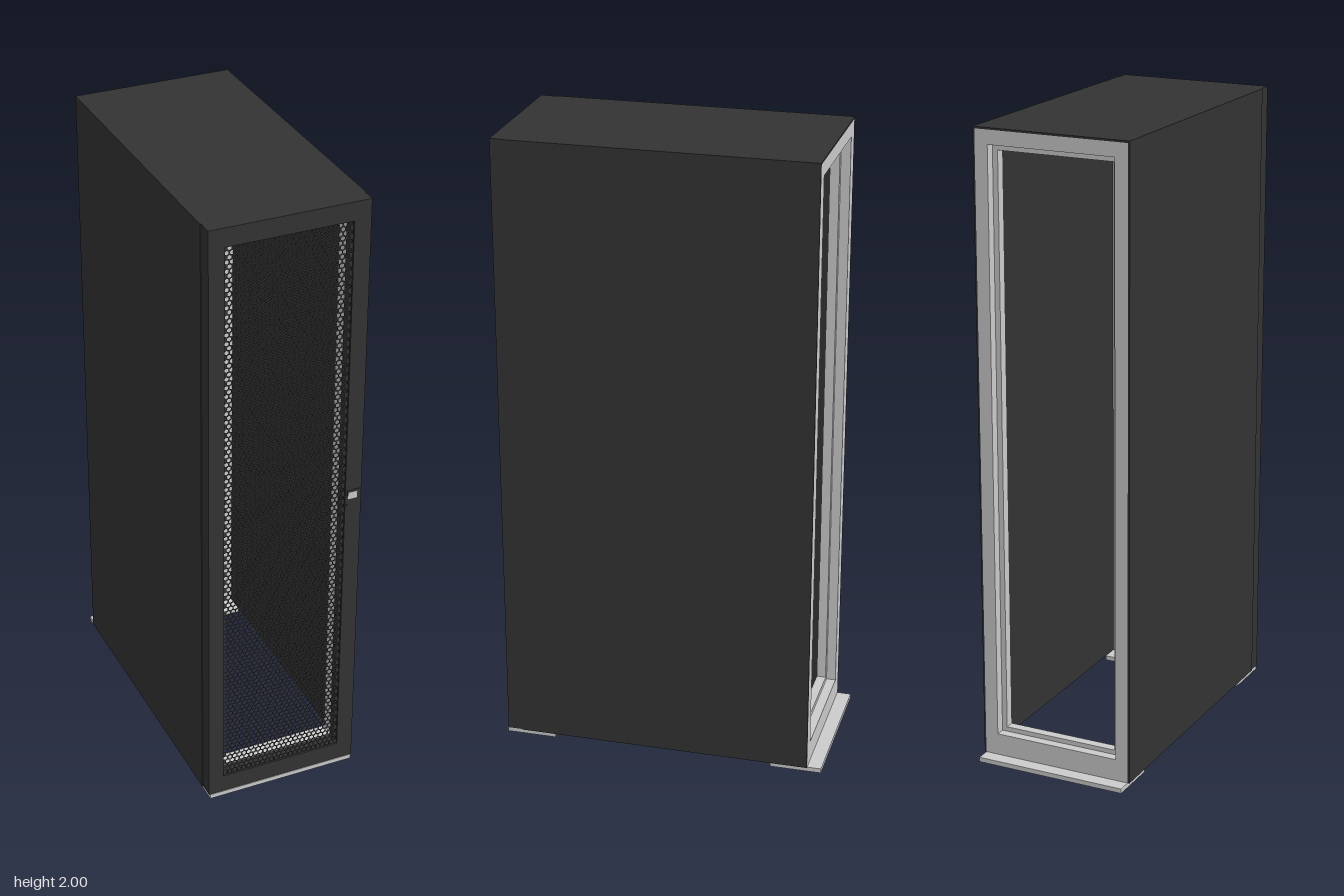
import * as THREE from 'three';
import { mergeGeometries } from 'three/addons/utils/BufferGeometryUtils.js';

const dark = new THREE.MeshStandardMaterial({ color: 0x333333 });
const darkSheet = new THREE.MeshStandardMaterial({ color: 0x333333, side: THREE.DoubleSide });
const grey = new THREE.MeshStandardMaterial({ color: 0xcccccc });

const W = 0.253, BACK = -0.475, DOOR = 0.47, FRONT = 0.52, BASE = 0.015, TOP = 2;

function rectPath(path, x0, x1, y0, y1) {
  path.moveTo(x0, y0);
  path.lineTo(x1, y0);
  path.lineTo(x1, y1);
  path.lineTo(x0, y1);
  path.closePath();
  return path;
}

export function createModel() {
  const model = new THREE.Group();
  model.name = 'rackCabinet';

  const add = (name, geometry, material, parent = model) => {
    const mesh = new THREE.Mesh(geometry, material);
    mesh.name = name;
    parent.add(mesh);
    return mesh;
  };
  // box given by its limits on each axis
  const box = (name, x0, x1, y0, y1, z0, z1, material, parent) => {
    const mesh = add(name, new THREE.BoxGeometry(x1 - x0, y1 - y0, z1 - z0), material, parent);
    mesh.position.set((x0 + x1) / 2, (y0 + y1) / 2, (z0 + z1) / 2);
    return mesh;
  };
  // rectangular ring: outer and inner limits are [x0, x1, y0, y1]
  const ring = (name, outer, inner, z0, z1, material, parent) => {
    const shape = rectPath(new THREE.Shape(), ...outer);
    shape.holes.push(rectPath(new THREE.Path(), ...inner));
    const geometry = new THREE.ExtrudeGeometry(shape, { depth: z1 - z0, bevelEnabled: false });
    geometry.translate(0, 0, z0);
    return add(name, geometry, material, parent);
  };

  // outer shell, open at the bottom and back
  const t = 0.006;
  box('leftSidePanel', W - t, W, BASE, TOP, BACK, DOOR, dark);
  box('rightSidePanel', -W, -W + t, BASE, TOP, BACK, DOOR, dark);
  box('roofPanel', -W + t, W - t, TOP - t, TOP, BACK, DOOR, dark);

  // grey inner frames; the rear one has a recessed lip
  const inside = [-W + t, W - t, BASE, TOP - t];
  ring('rearFrame', inside, [-0.205, 0.205, 0.085, 1.95], BACK, BACK + 0.03, grey);
  ring('rearFrameLip', inside, [-0.188, 0.188, 0.1, 1.93], BACK + 0.03, BACK + 0.06, grey);
  ring('frontFrame', inside, [-0.2, 0.2, 0.075, 1.945], DOOR - 0.05, DOOR - 0.002, grey);

  // front door
  const door = new THREE.Group();
  door.name = 'frontDoor';
  model.add(door);
  const [x0, x1, y0, y1] = [-0.2, 0.197, 0.075, 1.94];
  ring('doorFrame', [-0.25, 0.25, BASE, TOP], [x0, x1, y0, y1], DOOR, FRONT - 0.002, dark, door);

  // perforated sheet: staggered rows of hexagonal holes
  const columns = 24, rows = 130, r = 0.0068;
  const pitch = (x1 - x0) / (columns + 0.5), step = (y1 - y0) / rows;
  const stripes = [0, 0.5].map((shift) => {
    const shape = rectPath(new THREE.Shape(), x0, x1, 0, step);
    for (let i = 0; i < columns; i++) {
      const cx = x0 + (i + 0.5 + shift) * pitch;
      const hole = new THREE.Path();
      for (let k = 0; k < 6; k++) {
        const a = (k + 0.5) * Math.PI / 3;
        const x = cx + r * Math.cos(a), y = step / 2 + r * Math.sin(a);
        if (k) hole.lineTo(x, y);
        else hole.moveTo(x, y);
      }
      hole.closePath();
      shape.holes.push(hole);
    }
    return new THREE.ShapeGeometry(shape);
  });
  const sheet = [];
  for (let j = 0; j < rows; j++) {
    sheet.push(stripes[j % 2].clone().translate(0, y0 + j * step, FRONT - 0.008));
  }
  add('perforatedSheet', mergeGeometries(sheet), darkSheet, door);

  // latch on the door's left edge
  box('latchPlate', 0.203, 0.246, 0.985, 1.04, FRONT - 0.004, FRONT - 0.0005, dark, door);
  box('latchHandle', 0.206, 0.236, 1.01, 1.033, FRONT - 0.004, FRONT, grey, door);

  // base plates; the rear one sticks out behind the cabinet
  box('frontBasePlate', -0.247, 0.247, 0, BASE, 0.36, FRONT, grey);
  box('rearBasePlate', -0.247, 0.247, 0, BASE, -0.52, -0.355, grey);

  return model;
}
